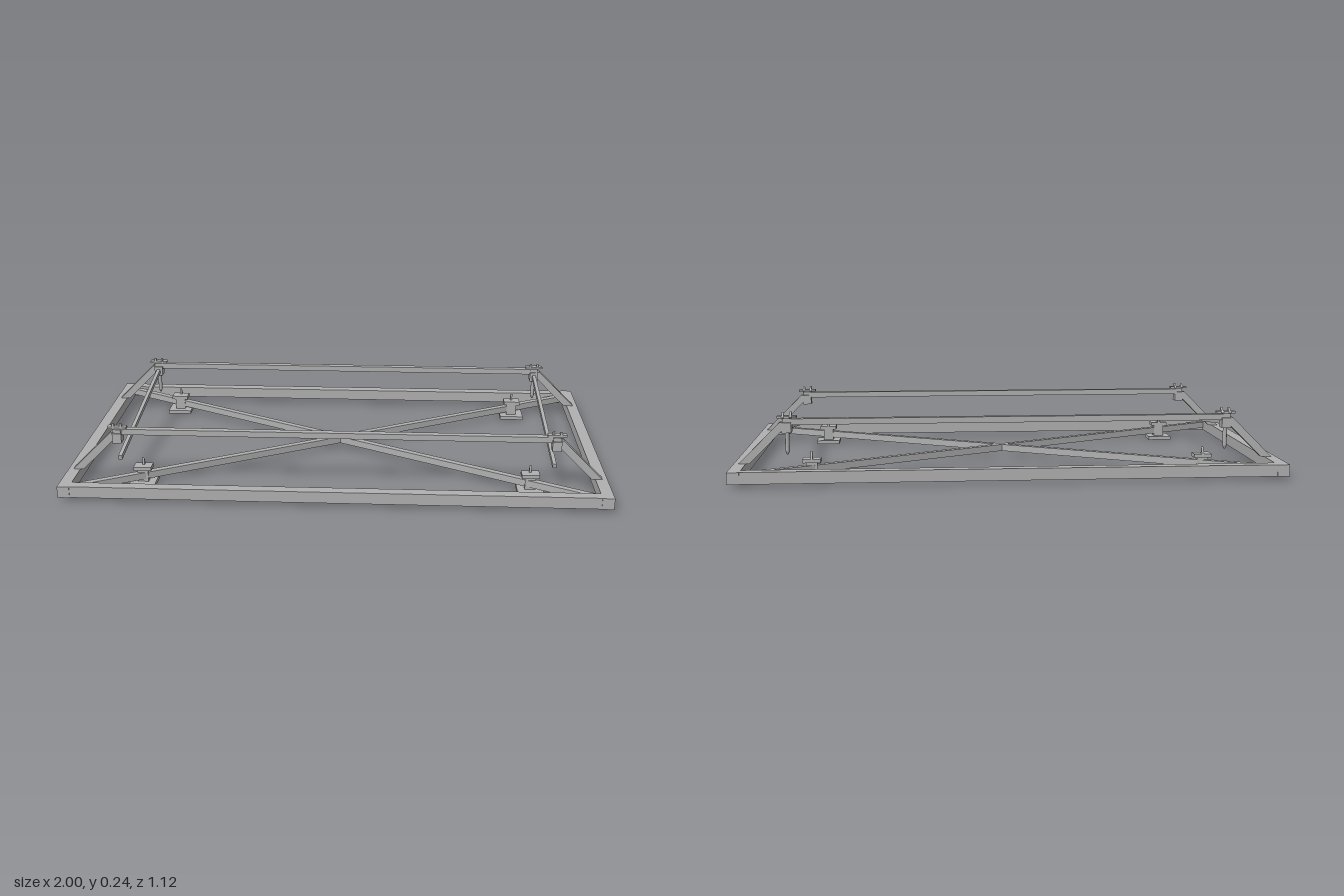
import * as THREE from 'three';

const steel = new THREE.MeshStandardMaterial({ color: 0xb0b0b0 });
steel.name = 'grey steel';

export function createModel() {
  const model = new THREE.Group();
  model.name = 'supportFrame';

  const add = (name, geometry, x, y, z, parent = model) => {
    const mesh = new THREE.Mesh(geometry, steel);
    mesh.name = name;
    mesh.position.set(x, y, z);
    parent.add(mesh);
    return mesh;
  };
  const box = (name, w, h, d, x, y, z, parent) =>
    add(name, new THREE.BoxGeometry(w, h, d), x, y, z, parent);

  // Square bar running between two points
  const bar = (name, a, b, w, h) => {
    const from = new THREE.Vector3(...a), to = new THREE.Vector3(...b);
    const mid = from.clone().add(to).multiplyScalar(0.5);
    const mesh = box(name, w, h, from.distanceTo(to), mid.x, mid.y, mid.z);
    mesh.lookAt(to);
    return mesh;
  };

  // Flat polygon extruded to a centred thickness along z
  const plate = (points, depth) => {
    const shape = new THREE.Shape(points.map(p => new THREE.Vector2(...p)));
    return new THREE.ExtrudeGeometry(shape, { depth, bevelEnabled: false })
      .translate(0, 0, -depth / 2);
  };

  // Triangular wedge standing in the y-z plane, pointing to -z
  const wedge = (name, points, x, y, z, parent) => {
    const mesh = add(name, plate(points, 0.008), x, y, z, parent);
    mesh.rotation.y = Math.PI / 2;
    return mesh;
  };

  // Base frame
  for (const s of [-1, 1]) {
    box('endBeam', 0.044, 0.043, 1.115, s * 0.978, 0.0365, 0);
    box('sideBeam', 1.912, 0.043, 0.04, 0, 0.0365, s * 0.535);
    // Crossed diagonals
    bar('diagonalBrace', [-0.956, 0.037, -s * 0.52], [0.956, 0.037, s * 0.52], 0.024, 0.026);
    // Raised long rails
    box('upperRail', 1.6, 0.022, 0.025, 0, 0.209, s * 0.38);
    // Sloping end ties
    bar('endTie', [s * 0.807, 0.099, 0.375], [s * 0.807, 0.188, -0.365], 0.014, 0.017);
  }

  for (const sx of [-1, 1]) for (const sz of [-1, 1]) {
    const z = sz * 0.382;

    // Inclined strut from end beam to upper rail
    const strut = [[0.982, 0.058], [0.832, 0.208], [0.795, 0.205], [0.943, 0.058]];
    const points = strut.map(([x, y]) => [sx * x, y]);
    add('strut', plate(points, 0.028), 0, 0, z);

    // Bracket and clamp on top of the strut
    const head = new THREE.Group();
    head.name = 'railBracket';
    head.position.set(sx * 0.807, 0, z + 0.003);
    model.add(head);
    box('bracketBlock', 0.034, 0.038, 0.042, 0, 0.188, 0, head);
    box('clampPlate', 0.07, 0.008, 0.022, 0, 0.226, 0, head);
    box('clampCap', 0.03, 0.014, 0.036, 0, 0.215, 0, head);
    for (const s of [-1, 1]) {
      wedge('clampWedge', [[-0.012, 0.21], [-0.008, 0.243], [0.018, 0.225]], s * 0.014, 0, 0, head);
    }
    // Hanging pin with a tapered tip
    if (sz < 0) {
      add('pin', new THREE.CylinderGeometry(0.008, 0.008, 0.07, 8), 0, 0.135, 0, head);
      add('pinTip', new THREE.CylinderGeometry(0.008, 0.003, 0.012, 8), 0, 0.094, 0, head);
    }

    // Foot clamped around the diagonal
    const foot = new THREE.Group();
    foot.name = 'foot';
    foot.position.set(sx * 0.72, 0, sz * 0.382);
    model.add(foot);
    box('footPlate', 0.096, 0.014, 0.086, 0, 0.007, 0, foot);
    box('footColumn', 0.04, 0.05, 0.034, 0, 0.036, 0, foot);
    box('footCap', 0.066, 0.014, 0.046, 0, 0.066, 0, foot);
    wedge('footWedge', [[0.004, 0.072], [0.024, 0.072], [0.006, 0.1]], 0, 0, 0, foot);
  }

  return model;
}
